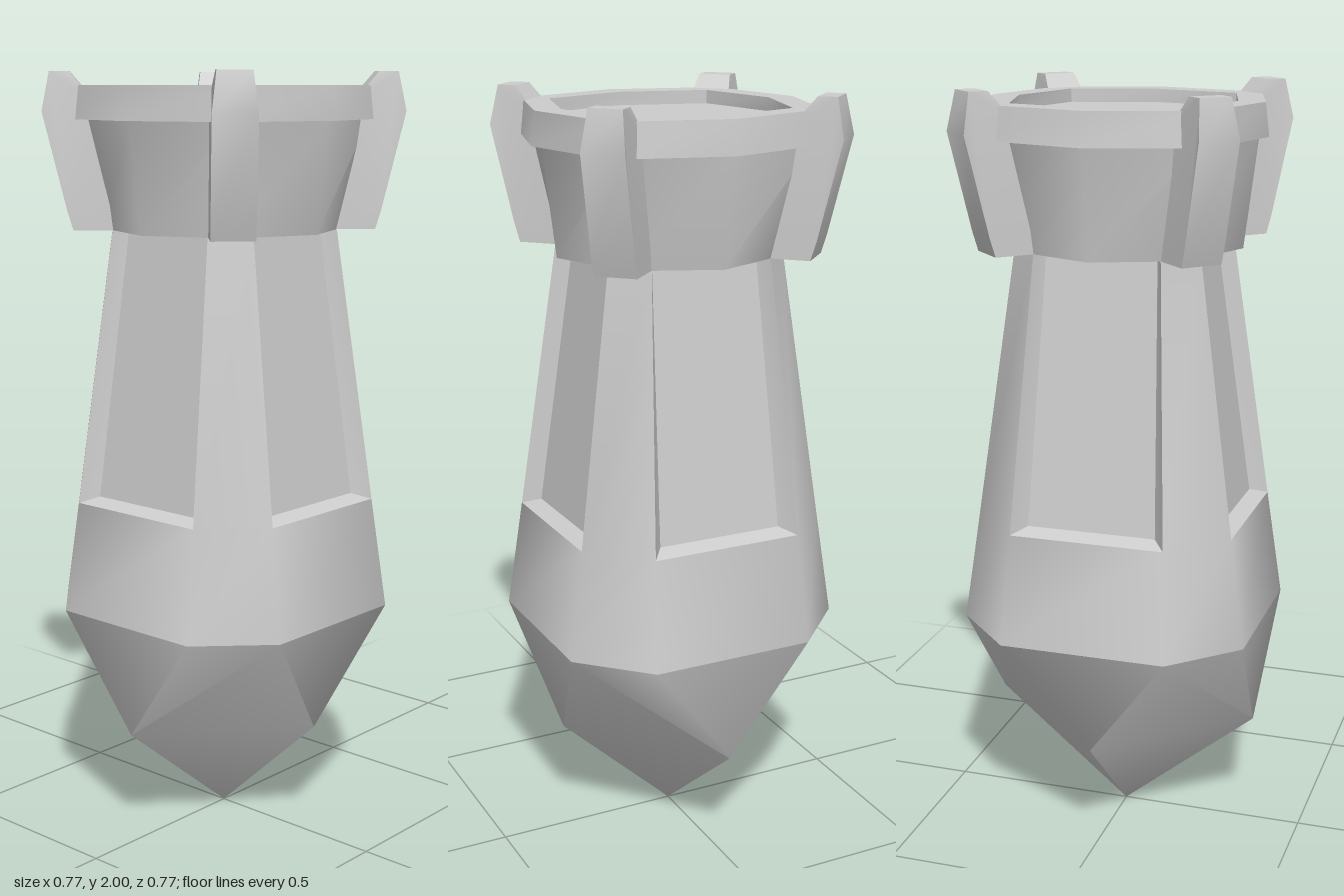
import * as THREE from 'three';
import { toCreasedNormals } from 'three/addons/utils/BufferGeometryUtils.js';

const CREASE = 0.88;

// polygons (corner lists, counter-clockwise from outside) -> creased geometry
function fromPolygons(polys) {
  const pos = [];
  for (const p of polys)
    for (let i = 1; i < p.length - 1; i++) pos.push(...p[0], ...p[i], ...p[i + 1]);
  const g = new THREE.BufferGeometry();
  g.setAttribute('position', new THREE.Float32BufferAttribute(pos, 3));
  return toCreasedNormals(g, CREASE);
}

// quarter turns about y, front side -> +x side -> back -> -x side
function turn([x, y, z], k) {
  for (let i = 0; i < k % 4; i++) [x, z] = [z, -x];
  return [x, y, z];
}

export function createModel() {
  const model = new THREE.Group();
  const stone = new THREE.MeshStandardMaterial({ color: 0xcccccc });
  stone.name = 'pale grey';
  const add = (name, geometry) => {
    const mesh = new THREE.Mesh(geometry, stone);
    mesh.name = name;
    model.add(mesh);
    return mesh;
  };

  // tapering eight-sided shaft with a sunken panel on each wide side
  const shaft = [];
  for (let k = 0; k < 4; k++) {
    const pair = (x, y, z) => [turn([-x, y, z], k), turn([x, y, z], k)];
    const [a0, a1] = pair(0.22, 0.6, 0.385);
    const [b0, b1] = pair(0.204, 0.89, 0.344);
    const [t0, t1] = pair(0.165, 1.6, 0.245);
    const [i0, i1] = pair(0.17, 0.905, 0.3);
    const [j0, j1] = pair(0.145, 1.6, 0.205);
    const next = (p) => turn(p, 1);
    shaft.push(
      [a0, a1, b1, b0], // wall below the panel
      [b0, b1, i1, i0], // sill
      [i0, i1, j1, j0], // panel floor
      [b1, t1, j1, i1], // panel sides
      [b0, i0, j0, t0],
      [a1, next(a0), next(b0), b1], // corner face
      [b1, next(b0), next(t0), t1]
    );
  }
  add('shaft', fromPolygons(shaft));

  // pointed base: octagon to diamond to tip
  const base = [];
  const tip = [0, 0, 0];
  const diamond = [[0, 0.3, 0.32], [0.365, 0.3, 0], [0, 0.3, -0.32], [-0.365, 0.3, 0]];
  for (let k = 0; k < 4; k++) {
    const left = turn([-0.22, 0.6, 0.385], k);
    const right = turn([0.22, 0.6, 0.385], k);
    const nextLeft = turn([-0.22, 0.6, 0.385], k + 1);
    const d = diamond[k];
    const e = diamond[(k + 1) % 4];
    base.push([left, d, right], [d, tip, e]);
    if (k % 2 === 0) base.push([right, e, nextLeft], [right, d, e]);
    else base.push([right, d, nextLeft], [nextLeft, d, e]);
  }
  add('pointedBase', fromPolygons(base));

  // flared crown with rim and sunken top: [y, reach on axes, reach on diagonals]
  const rings = [
    [1.6, 0, 0], [1.6, 0.31, 0.22], [1.88, 0.345, 0.267], [1.88, 0.37, 0.29],
    [1.965, 0.36, 0.283], [1.965, 0.29, 0.228], [1.93, 0.29, 0.228], [1.93, 0, 0],
  ];
  const corner = ([y, a, g], i) => turn(i % 2 ? [g, y, g] : [0, y, a], (i % 8) >> 1);
  const crown = [];
  for (let r = 0; r < rings.length - 1; r++) {
    const lo = rings[r];
    const hi = rings[r + 1];
    for (let i = 0; i < 8; i++) {
      const p = [corner(lo, i), corner(lo, i + 1), corner(hi, i + 1), corner(hi, i)];
      if (lo[1] === 0) p.splice(1, 1);
      if (hi[1] === 0) p.splice(2, 1);
      crown.push(p);
    }
  }
  add('crown', fromPolygons(crown));

  // four claw-like posts on the crown's diagonals
  const outline = [
    [0.27, 1.6], [0.39, 1.6], [0.405, 1.65], [0.465, 1.9],
    [0.445, 2], [0.395, 2], [0.335, 1.93], [0.3, 1.88],
  ];
  const post = new THREE.ExtrudeGeometry(
    new THREE.Shape(outline.map((p) => new THREE.Vector2(...p))),
    { depth: 0.11, bevelEnabled: false }
  );
  post.translate(0, 0, -0.055);
  // narrow the upper end
  const pos = post.attributes.position;
  for (let i = 0; i < pos.count; i++)
    if (pos.getY(i) > 1.95) pos.setZ(i, pos.getZ(i) * 0.78);
  const postGeometry = toCreasedNormals(post, 0.6);
  for (let k = 0; k < 4; k++)
    add('crownPost', postGeometry).rotation.y = Math.PI / 4 + (k * Math.PI) / 2;

  return model;
}
